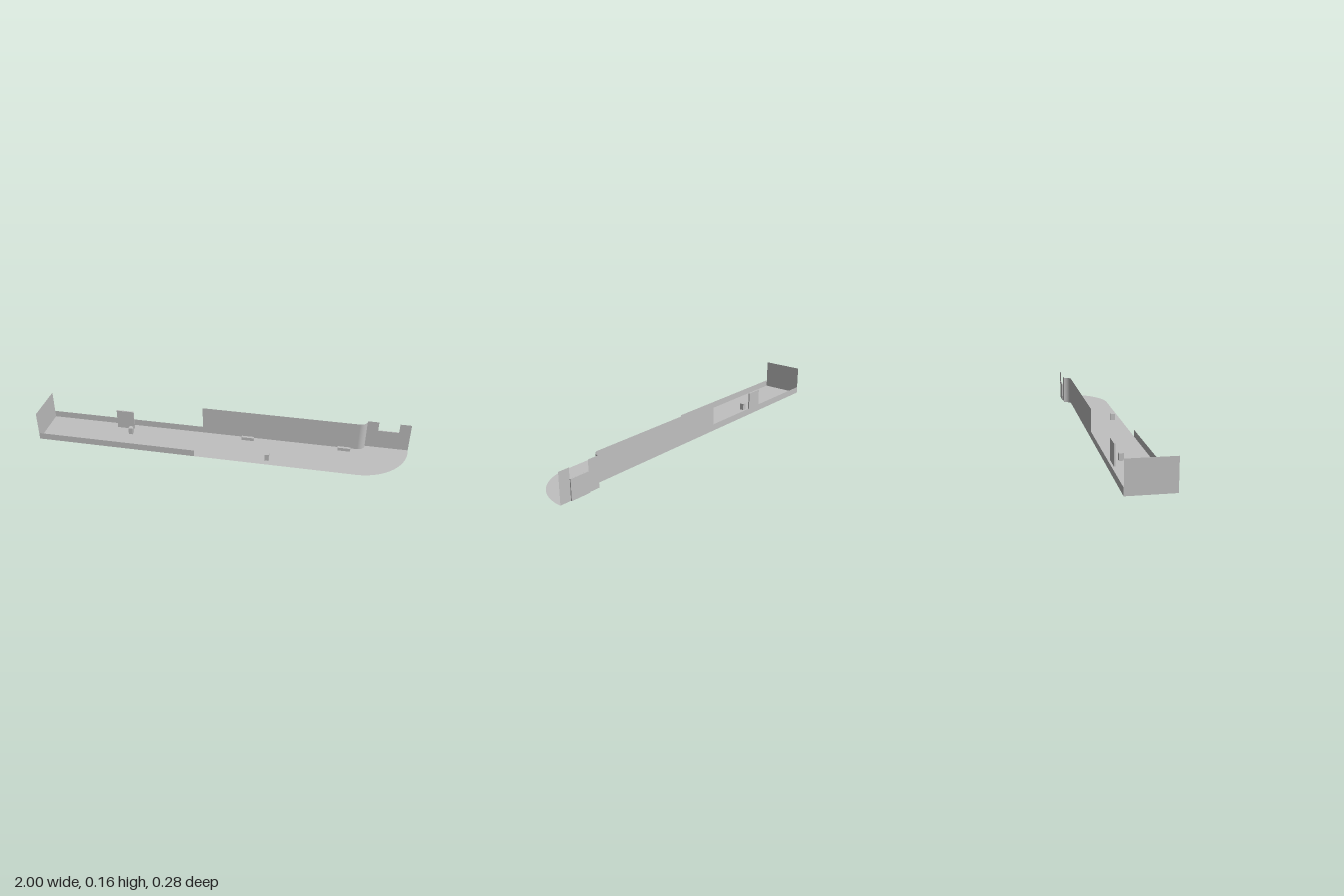
import * as THREE from 'three';

const FRONT = 0.139, BACK = -0.092, REAR = -0.132, TOP = 0.16, LOW = 0.037;

export function createModel() {
  const model = new THREE.Group();
  model.name = 'platformShell';
  const grey = new THREE.MeshStandardMaterial({ color: 0xc0c0c0, side: THREE.DoubleSide });
  grey.name = 'lightGrey';

  const add = (name, geometry, x = 0, y = 0, z = 0) => {
    const mesh = new THREE.Mesh(geometry, grey);
    mesh.name = name;
    mesh.position.set(x, y, z);
    model.add(mesh);
    return mesh;
  };
  // Flat sheet from corner pairs
  const sheet = (points) => new THREE.ShapeGeometry(
    new THREE.Shape(points.map(([x, y]) => new THREE.Vector2(x, y))));
  // Box given by its limits, standing on the floor
  const block = (name, x0, x1, h, z0, z1) =>
    add(name, new THREE.BoxGeometry(x1 - x0, h, z1 - z0), (x0 + x1) / 2, h / 2, (z0 + z1) / 2);

  // Floor with a rounded front corner and a small fillet at the back (shape y is -z)
  const floor = new THREE.Shape();
  floor.moveTo(-1, -FRONT);
  floor.lineTo(0.73, -FRONT);
  floor.absellipse(0.73, -REAR, 0.27, FRONT - REAR, -Math.PI / 2, 0, false);
  floor.lineTo(0.77, -REAR);
  floor.absarc(0.73, -REAR, 0.04, 0, -Math.PI / 2, true);
  floor.lineTo(-1, -BACK);
  add('floor', new THREE.ShapeGeometry(floor, 32).rotateX(-Math.PI / 2));

  // Walls
  add('frontLowWall', sheet([[-1, 0], [-0.125, 0], [-0.125, LOW], [-1, LOW]]), 0, 0, FRONT);
  add('backWall', sheet([[-1, 0], [0.73, 0], [0.73, TOP], [-0.125, TOP], [-0.125, LOW], [-1, LOW]]), 0, 0, BACK);
  add('endWall', sheet([[-FRONT, 0], [-BACK, 0], [-BACK, TOP], [-FRONT, TOP]]).rotateY(Math.PI / 2), -1);
  add('wallFillet', new THREE.CylinderGeometry(0.04, 0.04, TOP, 16, 1, true, 0, Math.PI / 2), 0.73, TOP / 2, REAR);

  // Rear wall with a notch, and the plate closing its lower part
  add('rearWall', sheet([[0.77, 0], [1, 0], [1, TOP], [0.94, TOP], [0.94, 0.106],
    [0.83, 0.106], [0.83, TOP], [0.77, TOP]]), 0, 0, REAR);
  block('rearPlate', 0.83, 0.94, 0.106, -0.138, REAR - 0.0005);

  // Fittings on the floor
  block('panel', -0.61, -0.513, 0.11, -0.06, -0.053);
  block('rearPost', -0.53, -0.507, LOW, -0.022, 0.002);
  block('frontPost', 0.25, 0.273, LOW, 0.082, 0.105);
  for (const x of [0.1, 0.626]) block('bench', x, x + 0.068, 0.018, -0.075, -0.06);

  return model;
}
